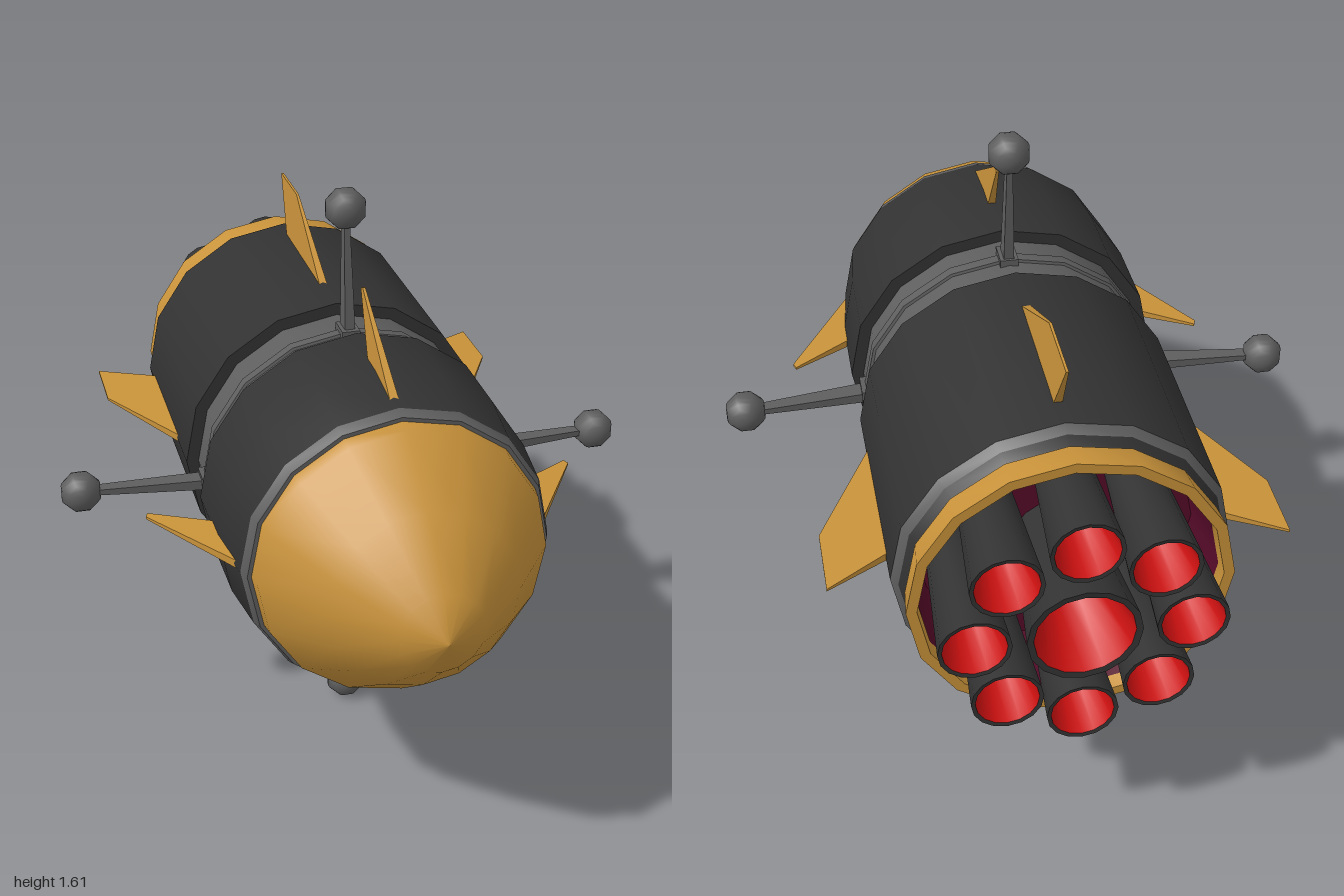
import * as THREE from 'three';
import { toCreasedNormals } from 'three/addons/utils/BufferGeometryUtils.js';

const material = (name, color) => Object.assign(new THREE.MeshStandardMaterial({ color }), { name });

export function createModel() {
  const gold = material('gold', 0xc8923a);
  const dark = material('dark hull', 0x323232);
  const grey = material('grey metal', 0x5e5e5e);
  const red = material('glowing red', 0xcc1010);
  const maroon = material('maroon interior', 0x550a28);

  const model = new THREE.Group();
  model.name = 'rocket';
  const rocket = new THREE.Group();
  rocket.name = 'rocketBody';
  rocket.position.y = 0.812;
  model.add(rocket);

  const add = (parent, name, geometry, mat) => {
    const mesh = new THREE.Mesh(geometry, mat);
    mesh.name = name;
    parent.add(mesh);
    return mesh;
  };

  // Turned shape along z; points are [radius, z], rising z faces outward
  const turned = (points, sides, smooth = false) => {
    const g = new THREE.LatheGeometry(points.map(([r, z]) => new THREE.Vector2(r, z)), sides);
    g.rotateX(Math.PI / 2);
    return smooth ? g : toCreasedNormals(g, 0.5);
  };

  // Hull sections, nose to tail
  add(rocket, 'noseCone', turned([[0.392, 0.575], [0.385, 0.62], [0.25, 0.8], [0.11, 0.95], [0, 1]], 16, true), gold);
  add(rocket, 'noseTrim', turned([[0.414, 0.55], [0.402, 0.58], [0.38, 0.58]], 16), grey);
  add(rocket, 'frontHull', turned([[0.39, 0.14], [0.44, 0.14], [0.437, 0.37], [0.414, 0.55]], 16), dark);
  add(rocket, 'middleCollar', turned([[0.406, -0.07], [0.406, 0.14]], 16), grey);
  add(rocket, 'collarBand', turned([[0.4, 0.033], [0.414, 0.037], [0.414, 0.068], [0.4, 0.072]], 16), grey);
  add(rocket, 'rearHull', turned([[0.44, -0.72], [0.44, -0.07], [0.39, -0.07]], 16), dark);
  add(rocket, 'rearTrim', turned([[0.422, -0.742], [0.44, -0.72]], 16), grey);
  add(rocket, 'tailNeck', turned([[0.39, -0.78], [0.4, -0.765], [0.422, -0.742]], 16), dark);
  add(rocket, 'tailRing', turned([[0.385, -0.81], [0.39, -0.848], [0.418, -0.848], [0.41, -0.772], [0.385, -0.772]], 16), gold);
  add(rocket, 'engineBay', turned([[0, -0.62], [0.365, -0.62], [0.386, -0.815]], 16), maroon);

  // Engine nozzles: one large in the centre, eight around it
  const nozzle = (name, radius, x, y) => {
    const group = new THREE.Group();
    group.name = name;
    group.position.set(x, y, 0);
    rocket.add(group);
    const inner = radius * 0.88;
    add(group, 'nozzleShell', turned([[inner, -0.998], [radius, -1], [radius * 0.74, -0.62]], 16), dark);
    add(group, 'nozzleGlow', turned([[0, -0.78], [inner * 0.6, -0.8], [inner, -0.998]], 16, true), red);
  };
  nozzle('centreNozzle', 0.145, 0, 0);
  for (let i = 0; i < 8; i++) {
    const a = i * Math.PI / 4;
    nozzle('outerNozzle', 0.092, 0.271 * Math.cos(a), 0.271 * Math.sin(a));
  }

  // Fin outline in [radius, z], thinning from root to tip
  const fin = (points) => {
    const shape = new THREE.Shape(points.map(([r, z]) => new THREE.Vector2(r, z)));
    const g = new THREE.ExtrudeGeometry(shape, { depth: 1, bevelEnabled: false });
    const p = g.attributes.position;
    for (let i = 0; i < p.count; i++) {
      const t = THREE.MathUtils.clamp((p.getX(i) - 0.4) / 0.2, 0, 1);
      p.setZ(i, (p.getZ(i) - 0.5) * THREE.MathUtils.lerp(0.026, 0.007, t));
    }
    g.rotateX(Math.PI / 2);
    g.computeVertexNormals();
    return g;
  };
  const frontFin = fin([[0.39, 0.55], [0.39, 0.32], [0.595, 0.197], [0.602, 0.215]]);
  const rearFin = fin([[0.41, -0.17], [0.41, -0.62], [0.6, -0.73], [0.6, -0.53]]);

  // Strut: a box tapering and leaning slightly toward its ball
  const strut = new THREE.BoxGeometry(1, 1, 1);
  const sp = strut.attributes.position;
  for (let i = 0; i < sp.count; i++) {
    const t = sp.getX(i) + 0.5;
    sp.setXYZ(i, 0.39 + 0.36 * t,
      sp.getY(i) * THREE.MathUtils.lerp(0.03, 0.014, t),
      THREE.MathUtils.lerp(0.052, 0.025, t) + sp.getZ(i) * THREE.MathUtils.lerp(0.055, 0.032, t));
  }
  strut.computeVertexNormals();
  const foot = new THREE.BoxGeometry(0.03, 0.05, 0.075).translate(0.408, 0, 0.053);
  const ball = new THREE.SphereGeometry(0.058, 8, 12).rotateX(Math.PI / 2).rotateZ(Math.PI / 8).translate(0.752, 0, 0.025);

  // Fins and struts repeat every quarter turn
  for (let i = 0; i < 4; i++) {
    const quarter = new THREE.Group();
    quarter.name = 'finsAndStrut';
    quarter.rotation.z = i * Math.PI / 2;
    rocket.add(quarter);
    add(quarter, 'frontFin', frontFin, gold);
    add(quarter, 'rearFin', rearFin, gold);
    add(quarter, 'strut', strut, grey);
    add(quarter, 'strutFoot', foot, grey);
    add(quarter, 'strutBall', ball, grey);
  }
  return model;
}
